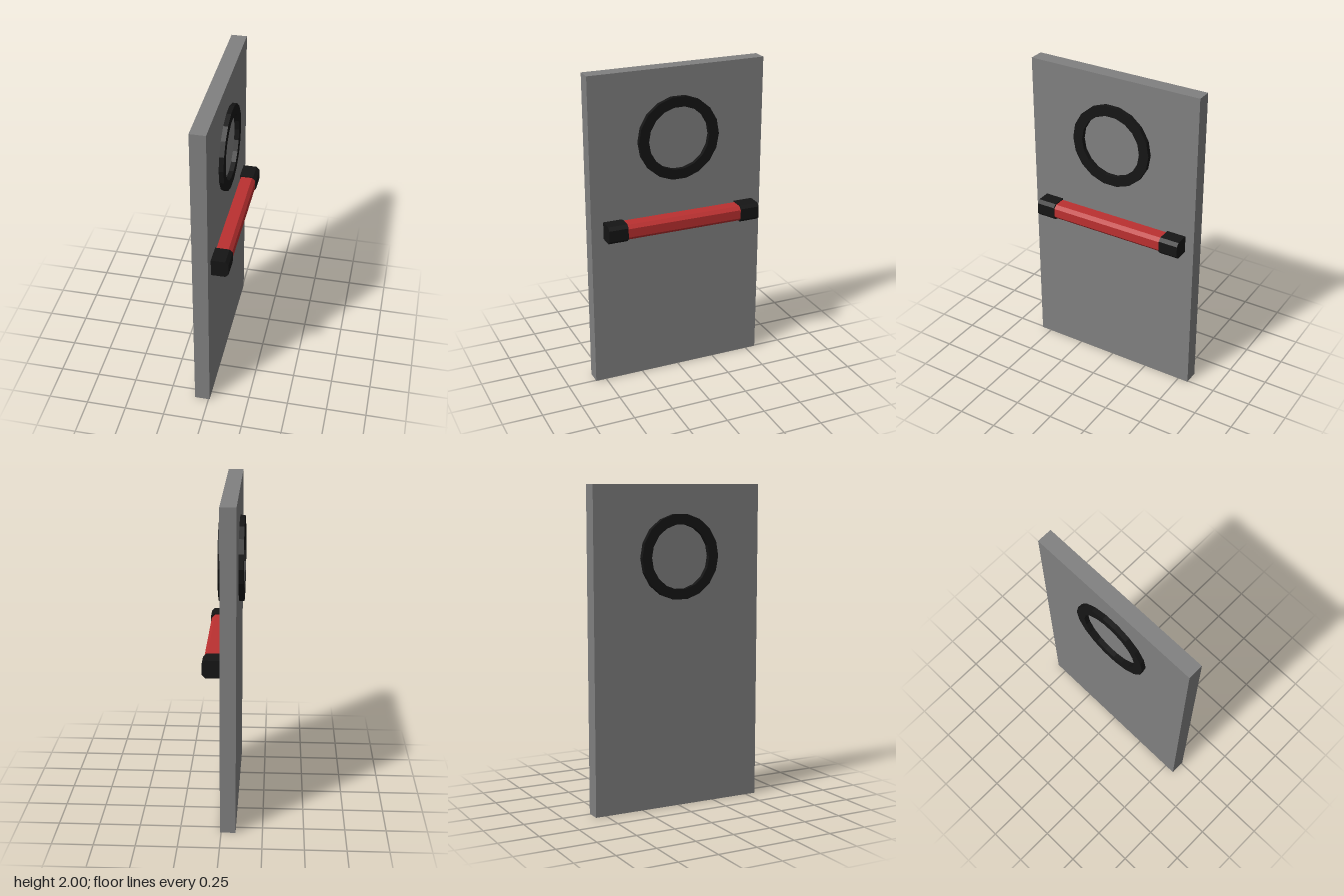
import * as THREE from 'three';

const grey = new THREE.MeshStandardMaterial({ color: 0x808080 });
const black = new THREE.MeshStandardMaterial({ color: 0x151515 });
const red = new THREE.MeshStandardMaterial({ color: 0xbb3030 });

// Bar along z with the two outer (+x) edges chamfered
function chamferedBar(x0, x1, y0, y1, z0, z1, c) {
  const shape = new THREE.Shape([
    new THREE.Vector2(x0, y0),
    new THREE.Vector2(x1 - c, y0),
    new THREE.Vector2(x1, y0 + c),
    new THREE.Vector2(x1, y1 - c),
    new THREE.Vector2(x1 - c, y1),
    new THREE.Vector2(x0, y1),
  ]);
  const geo = new THREE.ExtrudeGeometry(shape, { depth: z1 - z0, bevelEnabled: false });
  return geo.translate(0, 0, z0);
}

// Regular polygon points
function polygon(radius, sides) {
  return Array.from({ length: sides }, (_, i) => {
    const a = (i / sides) * Math.PI * 2;
    return new THREE.Vector2(Math.cos(a) * radius, Math.sin(a) * radius);
  });
}

export function createModel() {
  const model = new THREE.Group();
  model.name = 'door';
  const add = (name, geometry, material) => {
    const mesh = new THREE.Mesh(geometry, material);
    mesh.name = name;
    model.add(mesh);
    return mesh;
  };

  // Door slab
  add('doorPanel', new THREE.BoxGeometry(0.095, 2, 1.136).translate(-0.04, 1, 0), grey);

  // Porthole frame, standing proud of both faces
  const ring = new THREE.Shape(polygon(0.262, 18));
  ring.holes.push(new THREE.Path(polygon(0.198, 18)));
  const frame = new THREE.ExtrudeGeometry(ring, { depth: 0.154, bevelEnabled: false });
  frame.rotateY(Math.PI / 2).translate(-0.118, 1.563, 0);
  add('windowFrame', frame, black);

  // Push bar with an end cap on each side
  add('pushBar', chamferedBar(0.014, 0.108, 0.984, 1.081, -0.4, 0.38, 0.021), red);
  for (const [name, z] of [['rightBarCap', -0.511], ['leftBarCap', 0.368]]) {
    add(name, chamferedBar(0.0, 0.114, 0.978, 1.088, z, z + 0.123, 0.02), black);
  }

  return model;
}
